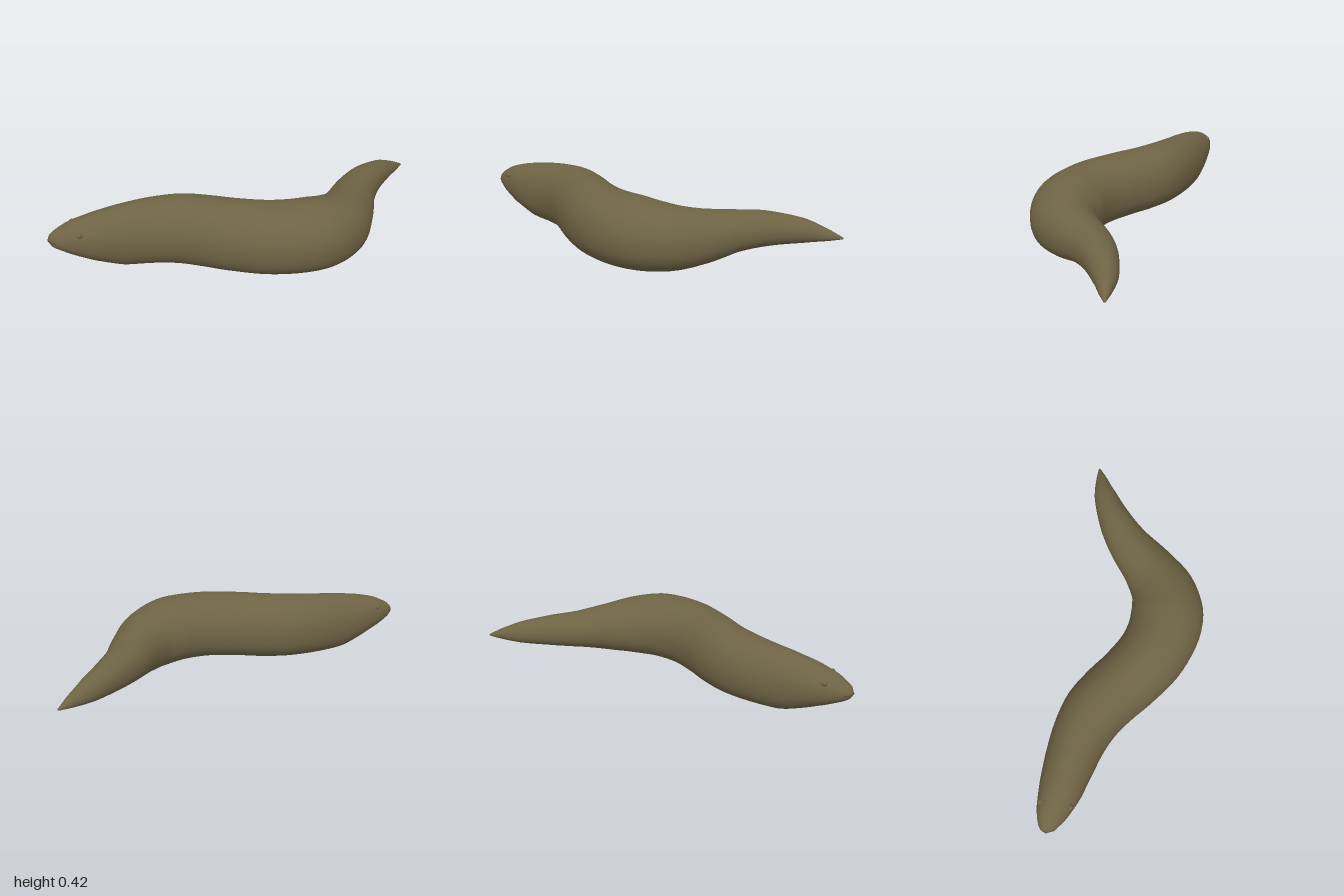
import * as THREE from 'three';

// Body stations from tail tip to snout: x, z, half width, top y, bottom y
const stations = [
  [0.675, -1.0, 0.006, 0.176, 0.166],
  [0.645, -0.92, 0.036, 0.22, 0.152],
  [0.6, -0.79, 0.073, 0.275, 0.135],
  [0.562, -0.575, 0.11, 0.316, 0.115],
  [0.56, -0.4, 0.136, 0.326, 0.09],
  [0.59, -0.18, 0.172, 0.35, 0.035],
  [0.585, 0.0, 0.21, 0.385, 0.007],
  [0.51, 0.165, 0.23, 0.415, 0.002],
  [0.33, 0.31, 0.218, 0.42, 0.002],
  [0.11, 0.39, 0.206, 0.42, 0.003],
  [-0.05, 0.428, 0.2, 0.42, 0.005],
  [-0.19, 0.475, 0.193, 0.42, 0.01],
  [-0.335, 0.563, 0.174, 0.41, 0.014],
  [-0.48, 0.685, 0.153, 0.39, 0.022],
  [-0.6, 0.797, 0.13, 0.36, 0.075],
  [-0.7, 0.885, 0.097, 0.323, 0.133],
  [-0.74, 0.921, 0.075, 0.297, 0.16],
  [-0.765, 0.946, 0.056, 0.277, 0.178],
  [-0.782, 0.964, 0.036, 0.257, 0.196],
  [-0.79, 0.975, 0.004, 0.23, 0.222],
];
const spine = new THREE.CatmullRomCurve3(stations.map((s) => new THREE.Vector3(s[0], 0, s[1])));
const sizes = new THREE.CatmullRomCurve3(stations.map((s) => new THREE.Vector3(s[2], s[3], s[4])));

// Point on the skin at t along the body and angle a around it;
// the upper half is rounder, the belly is fuller
function skin(t, a) {
  const p = spine.getPoint(t);
  const d = spine.getTangent(t);
  const { x: w, y: top, z: bottom } = sizes.getPoint(t);
  const c = Math.cos(a), s = Math.sin(a);
  const power = s >= 0 ? 1 : 0.84;
  const across = w * Math.sign(c) * Math.abs(c) ** power;
  const mid = bottom + 0.45 * (top - bottom);
  const y = mid + Math.abs(s) ** power * (s >= 0 ? top - mid : bottom - mid);
  return new THREE.Vector3(p.x + d.z * across, y, p.z - d.x * across);
}

// Closed loft of rings with a pole at each end
function bodyGeometry(rings, sides) {
  const pos = [], index = [];
  for (let i = 0; i <= rings; i++)
    for (let j = 0; j < sides; j++) pos.push(...skin(i / rings, (j / sides) * Math.PI * 2).toArray());
  const tail = pos.length / 3, snout = tail + 1;
  pos.push(0.677, 0.171, -1.0, -0.792, 0.226, 0.978);
  for (let j = 0; j < sides; j++) {
    const k = (j + 1) % sides;
    for (let i = 0; i < rings; i++) {
      const a = i * sides + j, b = i * sides + k;
      index.push(a, b, a + sides, b, b + sides, a + sides);
    }
    index.push(tail, k, j, snout, rings * sides + j, rings * sides + k);
  }
  const g = new THREE.BufferGeometry();
  g.setAttribute('position', new THREE.Float32BufferAttribute(pos, 3));
  g.setIndex(index);
  g.computeVertexNormals();
  return g;
}

export function createModel() {
  const olive = new THREE.MeshStandardMaterial({ color: 0x6e6344 });
  olive.name = 'olive skin';
  const dark = new THREE.MeshStandardMaterial({ color: 0x3c3624 });
  dark.name = 'dark mouth line';
  const model = new THREE.Group();
  model.name = 'eel';

  const add = (name, geometry, material) => {
    const mesh = new THREE.Mesh(geometry, material);
    mesh.name = name;
    model.add(mesh);
    return mesh;
  };

  add('body', bodyGeometry(114, 40), olive);

  // Small bead eyes on both sides of the head
  const eye = new THREE.SphereGeometry(0.017, 16, 12);
  add('leftEye', eye, olive).position.set(-0.6, 0.283, 0.923);
  add('rightEye', eye, olive).position.set(-0.738, 0.283, 0.812);

  // Mouth line running around the snout
  const steps = [0.9, 0.93, 0.96, 0.985];
  const path = [
    ...steps.map((t) => skin(t, 0)),
    new THREE.Vector3(-0.791, 0.226, 0.977),
    ...steps.reverse().map((t) => skin(t, Math.PI)),
  ];
  add('mouth', new THREE.TubeGeometry(new THREE.CatmullRomCurve3(path), 48, 0.002, 6), dark);

  return model;
}
